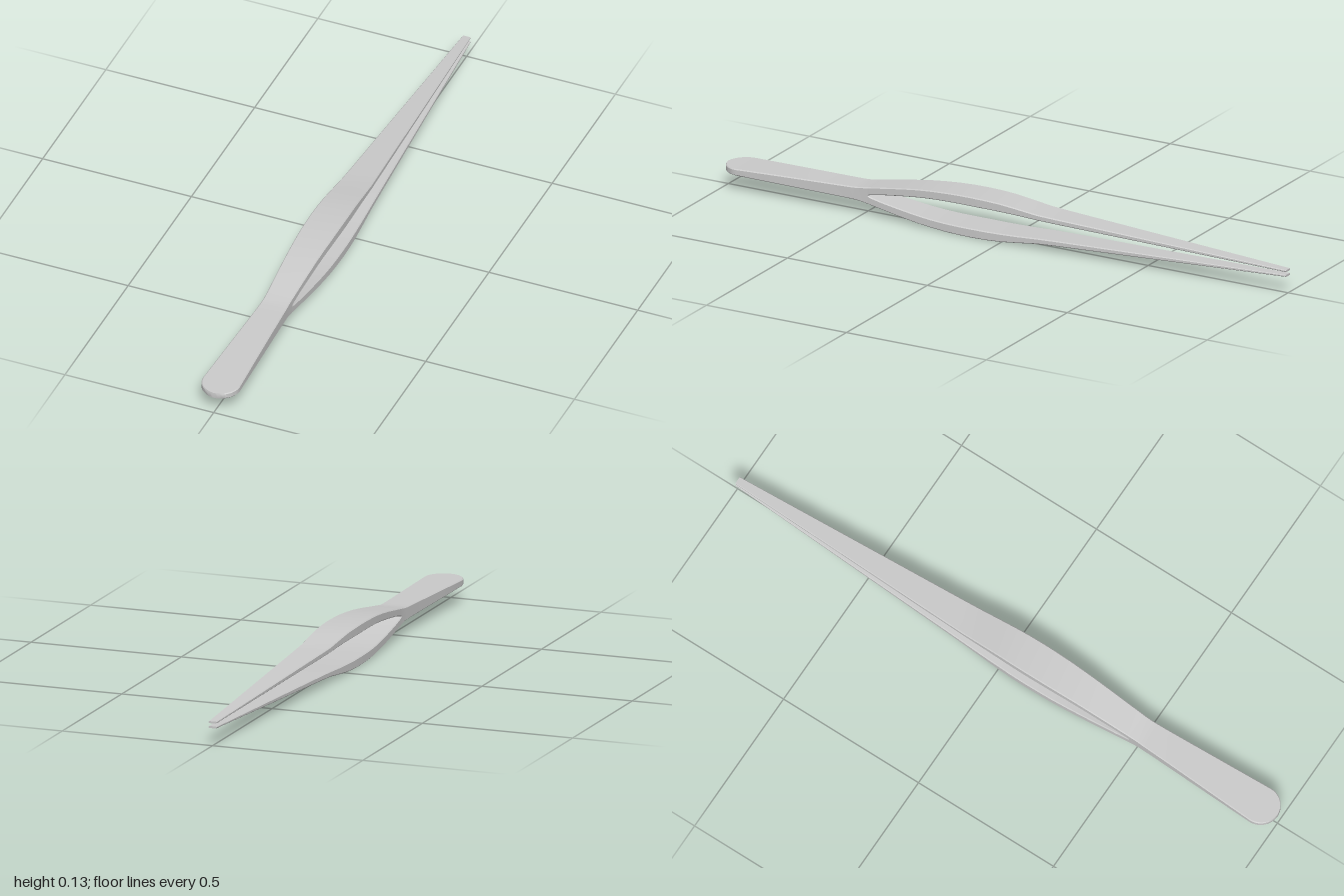
import * as THREE from 'three';
import { toCreasedNormals } from 'three/addons/utils/BufferGeometryUtils.js';

const MID = 0.0665; // height of the plane of symmetry
const BEVEL = 0.003;

// Arm stations: z, half width, outer height, inner height (from the mid plane)
const ARM = [
  [0.478, 0.043, 0.0275, 0],
  [0.47, 0.0435, 0.029, 0.003],
  [0.43, 0.045, 0.0355, 0.011],
  [0.36, 0.048, 0.047, 0.021],
  [0.3, 0.0505, 0.0555, 0.0285],
  [0.25, 0.0525, 0.0605, 0.033],
  [0.2, 0.0545, 0.064, 0.0355],
  [0.15, 0.0555, 0.066, 0.0365],
  [0.1, 0.056, 0.0665, 0.0365],
  [0.05, 0.0555, 0.0655, 0.0365],
  [0, 0.054, 0.063, 0.0355],
  [-0.06, 0.052, 0.0565, 0.0335],
  [-0.13, 0.0495, 0.048, 0.0295],
  [-0.2, 0.0465, 0.0445, 0.027],
  [-1, 0.013, 0.011, 0.0045],
];

// Bevelled rectangular section, counterclockwise seen from +z
function section(z, w, lo, hi) {
  const b = Math.min(BEVEL, w * 0.4, (hi - lo) * 0.3);
  return [
    [-w + b, lo], [w - b, lo], [w, lo + b], [w, hi - b],
    [w - b, hi], [-w + b, hi], [-w, hi - b], [-w, lo + b],
  ].map(([x, y]) => [x, y + MID, z]);
}

// Skin between sections ordered from +z to -z, with both ends closed
function loft(name, rings, material) {
  const n = rings[0].length;
  const last = (rings.length - 1) * n;
  const index = [];
  for (let i = 0; i < rings.length - 1; i++) {
    for (let j = 0; j < n; j++) {
      const k = (j + 1) % n;
      const a = i * n + j, b = i * n + k;
      index.push(a, a + n, b, b, a + n, b + n);
    }
  }
  for (let j = 1; j < n - 1; j++) {
    index.push(0, j, j + 1, last, last + j + 1, last + j);
  }
  const geometry = new THREE.BufferGeometry();
  geometry.setAttribute('position', new THREE.Float32BufferAttribute(rings.flat(2), 3));
  geometry.setIndex(index);
  const mesh = new THREE.Mesh(toCreasedNormals(geometry, 0.5), material);
  mesh.name = name;
  return mesh;
}

export function createModel() {
  const group = new THREE.Group();
  group.name = 'tweezers';
  const material = new THREE.MeshStandardMaterial({ color: 0xcccccc });

  // Solid handle: round end, then a taper to the fork
  const R = 0.062;
  const handle = [];
  for (let i = 0; i <= 12; i++) {
    const t = 0.06 + (i / 12) * (Math.PI / 2 - 0.06);
    const z = 1 - R + R * Math.cos(t);
    const h = 0.0095 + (1 - z) * 0.023;
    handle.push(section(z, R * Math.sin(t), -h, h));
  }
  for (const [z, w, h] of [[0.8, 0.0555, 0.0145], [0.65, 0.0485, 0.018],
    [0.56, 0.0445, 0.02], [0.53, 0.0435, 0.021], [0.51, 0.0425, 0.0225], [0.478, 0.043, 0.0275]]) {
    handle.push(section(z, w, -h, h));
  }
  group.add(loft('handle', handle, material));

  // Two bowed arms, mirrored about the mid plane
  group.add(loft('upperArm', ARM.map(([z, w, o, i]) => section(z, w, i, o)), material));
  group.add(loft('lowerArm', ARM.map(([z, w, o, i]) => section(z, w, -o, -i)), material));
  return group;
}
